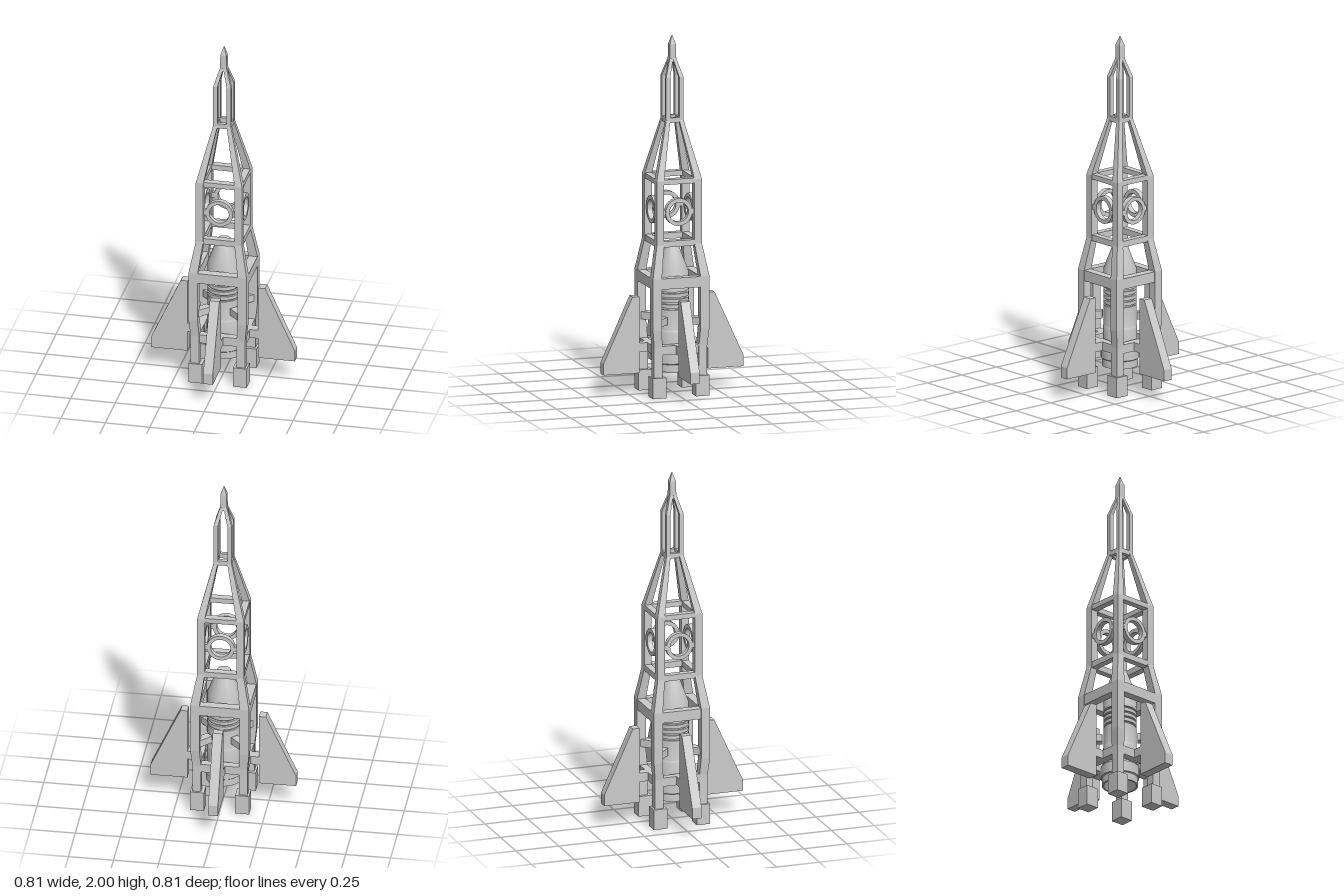
import * as THREE from 'three';
import { toCreasedNormals } from 'three/addons/utils/BufferGeometryUtils.js';

const flat = new THREE.MeshStandardMaterial({ color: 0xcccccc, flatShading: true });
const smooth = new THREE.MeshStandardMaterial({ color: 0xcccccc, side: THREE.DoubleSide });

function add(parent, name, geometry, material = flat, x = 0, y = 0, z = 0) {
  const mesh = new THREE.Mesh(geometry, material);
  mesh.name = name;
  mesh.position.set(x, y, z);
  parent.add(mesh);
  return mesh;
}

// Square bar through levels [y, outer, inner]; each section spans inner..outer in x and z
function squareLoft(levels) {
  const pos = [], idx = [];
  for (const [y, o, i] of levels) pos.push(i, y, i, i, y, o, o, y, o, o, y, i);
  for (let l = 0; l < levels.length - 1; l++) {
    for (let k = 0; k < 4; k++) {
      const a = l * 4 + k, b = l * 4 + (k + 1) % 4;
      idx.push(a, b, b + 4, a, b + 4, a + 4);
    }
  }
  const t = (levels.length - 1) * 4;
  idx.push(0, 2, 1, 0, 3, 2, t, t + 1, t + 2, t, t + 2, t + 3);
  const g = new THREE.BufferGeometry();
  g.setAttribute('position', new THREE.Float32BufferAttribute(pos, 3));
  g.setIndex(idx);
  const out = g.toNonIndexed();
  out.computeVertexNormals();
  return out;
}

export function createModel() {
  const model = new THREE.Group();
  model.name = 'rocket';

  // Shared shapes for the four sides
  const post = squareLoft([
    [0.1, 0.153, 0.105], [0.28, 0.153, 0.105], [0.38, 0.163, 0.112], [0.67, 0.163, 0.112],
    [0.85, 0.13, 0.088], [1.21, 0.13, 0.088], [1.53, 0.05, 0.026], [1.77, 0.05, 0.026],
    [1.87, 0.019, 0],
  ]);

  const finShape = new THREE.Shape([
    [0.198, 0.122], [0.404, 0.122], [0.404, 0.185], [0.237, 0.55], [0.198, 0.55],
  ].map(([x, y]) => new THREE.Vector2(x, y)));
  const fin = new THREE.ExtrudeGeometry(finShape, { depth: 0.054, bevelEnabled: false });
  fin.translate(0, 0, -0.027);

  const ringShape = new THREE.Shape().absarc(0, 0, 0.077, 0, Math.PI * 2);
  ringShape.holes.push(new THREE.Path().absarc(0, 0, 0.055, 0, Math.PI * 2, true));
  const ring = toCreasedNormals(new THREE.ExtrudeGeometry(ringShape,
    { depth: 0.03, bevelEnabled: false, curveSegments: 24 }), 0.6);
  ring.translate(0, 0, -0.015);

  // Cross beams: bottom, top, outer, inner
  const beams = [
    [0.24, 0.29, 0.15, 0.108], [0.61, 0.67, 0.162, 0.113], [0.838, 0.872, 0.128, 0.09],
    [1.188, 1.217, 0.128, 0.09], [1.517, 1.545, 0.049, 0.028],
  ];

  for (let s = 0; s < 4; s++) {
    const side = new THREE.Group();
    side.name = 'side' + (s + 1);
    side.rotation.y = s * Math.PI / 2;
    model.add(side);

    add(side, 'cornerPost', post);
    add(side, 'foot', new THREE.BoxGeometry(0.078, 0.115, 0.078), flat, 0.125, 0.0575, 0.125);

    for (const [y0, y1, o, i] of beams) {
      add(side, 'crossBeam', new THREE.BoxGeometry(2 * i + 0.01, y1 - y0, o - i),
        flat, 0, (y0 + y1) / 2, (o + i) / 2);
    }

    // Porthole ring with lugs to the posts
    add(side, 'portholeRing', ring, smooth, 0, 1.03, 0.109);
    for (const m of [-1, 1]) {
      add(side, 'ringLug', new THREE.BoxGeometry(0.026, 0.03, 0.026), flat, m * 0.083, 1.03, 0.109);
    }

    // Fin and its mounting strut
    add(side, 'fin', fin);
    add(side, 'finStrut', new THREE.BoxGeometry(0.1, 0.05, 0.054), flat, 0.155, 0.265, 0);

    // Diagonal bracket between engine and post
    const bracket = add(side, 'engineBracket', new THREE.BoxGeometry(0.09, 0.042, 0.044),
      flat, 0.1, 0.415, 0.1);
    bracket.rotation.y = -Math.PI / 4;
  }

  // Spire at the tip
  const spire = [[1.85, 0.019], [1.95, 0.017], [2, 0.001]].map(([y, h]) => [y, h, -h]);
  add(model, 'spire', squareLoft(spire));

  // Central engine: nozzle, ribbed body and nose cone
  const profile = [
    [0, 0.2], [0.06, 0.2], [0.09, 0.128], [0.1, 0.128], [0.1, 0.17], [0.106, 0.175],
    [0.106, 0.235], [0.094, 0.25], [0.094, 0.35], [0.09, 0.36], [0.09, 0.475],
  ];
  for (let r = 0; r < 4; r++) {
    const y = 0.475 + r * 0.03;
    profile.push([0.08, y], [0.08, y + 0.01], [0.092, y + 0.01], [0.092, y + 0.03]);
  }
  profile.push([0.09, 0.6], [0.09, 0.68], [0.037, 0.82], [0, 0.82]);
  const engine = new THREE.LatheGeometry(profile.map(([r, y]) => new THREE.Vector2(r, y)), 40);
  add(model, 'engine', toCreasedNormals(engine, 0.4), smooth);

  return model;
}
